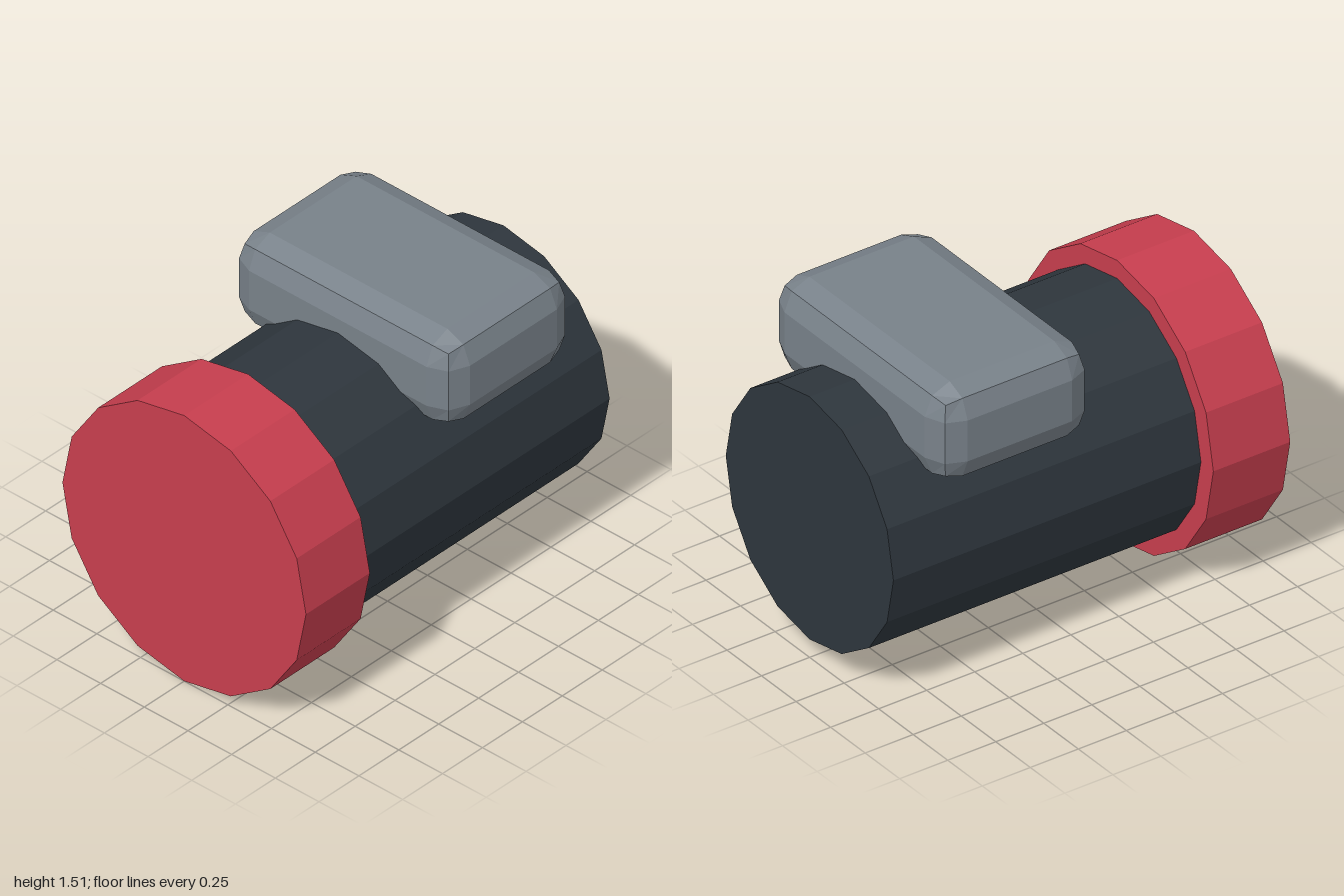
import * as THREE from 'three';
import { RoundedBoxGeometry } from 'three/addons/geometries/RoundedBoxGeometry.js';

export function createModel() {
  const model = new THREE.Group();
  const material = (name, color) => {
    const m = new THREE.MeshStandardMaterial({ color });
    m.name = name;
    return m;
  };
  const red = material('red', 0xc73e4e);
  const charcoal = material('charcoal', 0x2e363d);
  const grey = material('grey', 0x788189);

  // Adds a mesh with faceted normals
  const add = (name, geometry, mat, x, y, z) => {
    const flat = geometry.index ? geometry.toNonIndexed() : geometry;
    flat.computeVertexNormals();
    const mesh = new THREE.Mesh(flat, mat);
    mesh.name = name;
    mesh.position.set(x, y, z);
    model.add(mesh);
  };

  // 16-sided drum lying along z, with a vertex at the top
  const drum = (radius, length) =>
    new THREE.CylinderGeometry(radius, radius, length, 16).rotateX(Math.PI / 2);

  const axisY = 0.697;
  add('barrel', drum(0.607, 1.6), charcoal, 0, axisY, -0.2);
  add('frontCap', drum(0.697, 0.4), red, 0, axisY, 0.8);

  // Chamfered block straddling the barrel
  add('topBlock', new RoundedBoxGeometry(1.276, 0.464, 0.804, 1, 0.13), grey, 0, 1.276, -0.364);

  return model;
}
